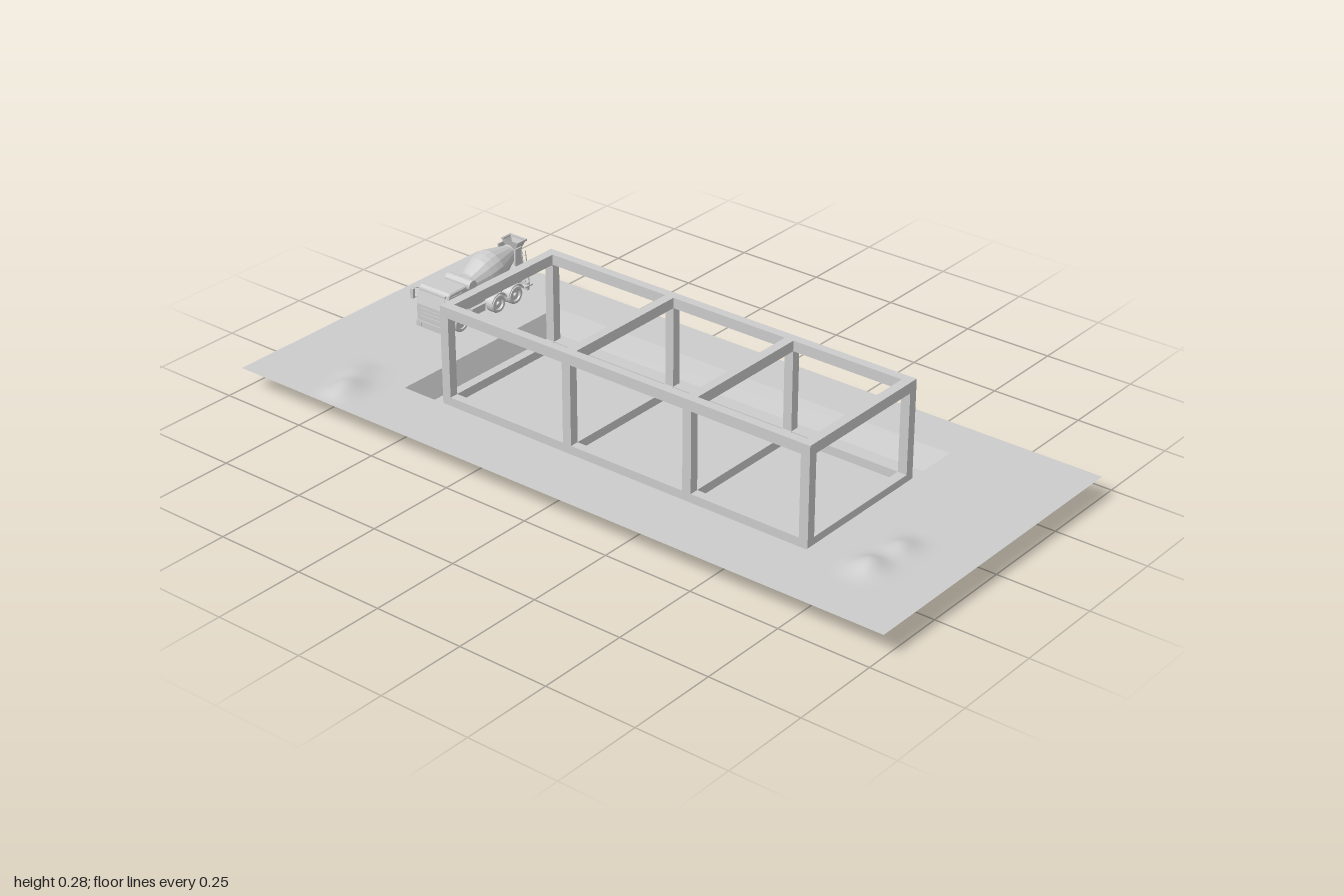
import * as THREE from 'three';

const GROUND = 0.059;
const mat = new THREE.MeshStandardMaterial({ color: 0xcccccc, flatShading: true, side: THREE.DoubleSide });
const smooth = new THREE.MeshStandardMaterial({ color: 0xcccccc, side: THREE.DoubleSide });

function add(parent, name, geo, material = mat) {
  const m = new THREE.Mesh(geo, material);
  m.name = name;
  parent.add(m);
  return m;
}

// Box given by its extents on each axis
function box(parent, name, x0, x1, y0, y1, z0, z1) {
  const m = add(parent, name, new THREE.BoxGeometry(x1 - x0, y1 - y0, z1 - z0));
  m.position.set((x0 + x1) / 2, (y0 + y1) / 2, (z0 + z1) / 2);
  return m;
}

// Bar between two points
function bar(parent, name, a, b, r, sides = 8) {
  const p = new THREE.Vector3(...a), q = new THREE.Vector3(...b);
  const m = add(parent, name, new THREE.CylinderGeometry(r, r, p.distanceTo(q), sides));
  m.position.copy(p).add(q).multiplyScalar(0.5);
  m.quaternion.setFromUnitVectors(new THREE.Vector3(0, 1, 0), q.sub(p).normalize());
  return m;
}

// Side outline extruded across z, centred on zc
function slab(parent, name, shape, width, zc = 0, bevel = 0) {
  const depth = width - 2 * bevel;
  const geo = new THREE.ExtrudeGeometry(shape, {
    depth, bevelEnabled: bevel > 0, bevelSize: bevel, bevelOffset: -bevel,
    bevelThickness: bevel, bevelSegments: 1, curveSegments: 10,
  });
  geo.translate(0, 0, zc - depth / 2);
  return add(parent, name, geo);
}
const outline = pts => new THREE.Shape(pts.map(p => new THREE.Vector2(...p)));
const rect = (x0, x1, z0, z1) => [[x0, -z0], [x1, -z0], [x1, -z1], [x0, -z1]];

function buildGround(root) {
  const rim = [-0.267, 0.317, -0.603, 0.653], floor = [-0.24, 0.291, -0.578, 0.628];
  // Earth heaps: patch extents and bumps [x, z, height, radius x, radius z]
  const heaps = [
    { area: [-0.45, -0.2, -0.84, -0.62], bumps: [[-0.37, -0.71, 0.022, 0.055, 0.04], [-0.29, -0.75, 0.01, 0.05, 0.04]] },
    { area: [-0.34, -0.04, 0.71, 0.91], bumps: [[-0.24, 0.81, 0.024, 0.045, 0.04], [-0.13, 0.82, 0.018, 0.045, 0.035]] },
  ];
  const sheet = outline(rect(-0.45, 0.45, -1, 1));
  for (const r of [rim, ...heaps.map(h => h.area)]) sheet.holes.push(outline(rect(...r)));
  const ground = add(root, 'ground', new THREE.ShapeGeometry(sheet));
  ground.rotation.x = -Math.PI / 2;
  ground.position.y = GROUND;

  for (const { area: [x0, x1, z0, z1], bumps } of heaps) {
    const geo = new THREE.PlaneGeometry(x1 - x0, z1 - z0, 24, 18).rotateX(-Math.PI / 2);
    geo.translate((x0 + x1) / 2, GROUND, (z0 + z1) / 2);
    const p = geo.attributes.position;
    for (let i = 0; i < p.count; i++) {
      const x = p.getX(i), z = p.getZ(i);
      const edge = Math.min(1, Math.min(x - x0, x1 - x, z - z0, z1 - z) / 0.035);
      let h = 0;
      for (const [bx, bz, k, rx, rz] of bumps) h += k * Math.exp(-(((x - bx) / rx) ** 2) - ((z - bz) / rz) ** 2);
      p.setY(i, GROUND + h * edge);
    }
    geo.computeVertexNormals();
    add(root, 'earthHeap', geo, smooth);
  }

  // Excavated pit: sloping sides and flat bottom
  const ring = ([x0, x1, z0, z1], y) => [x0, y, z0, x1, y, z0, x1, y, z1, x0, y, z1];
  const pit = new THREE.BufferGeometry();
  pit.setAttribute('position', new THREE.Float32BufferAttribute([...ring(rim, GROUND), ...ring(floor, 0)], 3));
  const idx = [4, 6, 5, 4, 7, 6];
  for (let i = 0; i < 4; i++) {
    const j = (i + 1) % 4;
    idx.push(i, i + 4, j, j, i + 4, j + 4);
  }
  pit.setIndex(idx);
  const flat = pit.toNonIndexed();
  flat.computeVertexNormals();
  add(root, 'pit', flat);
}

function buildFrame(root) {
  const frame = new THREE.Group();
  frame.name = 'buildingFrame';
  root.add(frame);
  const columns = [[-0.187, -0.162], [0.213, 0.238]], rows = [-0.535, -0.135, 0.24, 0.587], h = 0.013;
  for (const [x0, x1] of columns) {
    box(frame, 'topRail', x0, x1, 0.248, 0.277, -0.548, 0.6);
    box(frame, 'bottomRail', x0, x1, 0.001, 0.025, -0.548, 0.6);
    for (const z of rows) box(frame, 'post', x0, x1, 0.025, 0.248, z - h, z + h);
  }
  for (const z of rows) {
    box(frame, 'topCrossBeam', -0.162, 0.213, 0.248, 0.277, z - h, z + h);
    box(frame, 'bottomCrossBeam', -0.162, 0.213, 0.001, 0.025, z - h, z + h);
  }
}

function wheel(parent, x, z, width, r) {
  const w = new THREE.Group();
  w.name = 'wheel';
  const o = width / 2;
  // Lathe profile: hub, recessed rim, tyre
  const profile = [[0, -o], [0.2, -o], [0.25, -o * 0.6], [0.6, -o * 0.6], [0.66, -o], [0.92, -o], [1, -o * 0.7],
    [1, o * 0.7], [0.92, o], [0.66, o], [0.6, o * 0.6], [0.25, o * 0.6], [0.2, o], [0, o]];
  const geo = new THREE.LatheGeometry(profile.map(([a, y]) => new THREE.Vector2(a * r, y)), 24);
  add(w, 'tyreAndRim', geo.rotateX(Math.PI / 2));
  w.position.set(x, GROUND + r, z);
  parent.add(w);
}

function buildTruck(root) {
  const t = new THREE.Group();
  t.name = 'mixerTruck';
  t.position.z = -0.75;
  root.add(t);

  // Cab with an arch over the front wheel
  const cab = outline([[-0.008, 0.074], [-0.008, 0.137], [0.004, 0.18], [0.012, 0.185], [0.07, 0.186], [0.074, 0.18], [0.074, 0.111]]);
  cab.absarc(0.056, 0.085, 0.031, 0.95, 3.5, false);
  slab(t, 'cab', cab, 0.106, 0, 0.003);
  const windscreen = box(t, 'windscreen', -0.001, 0.001, -0.019, 0.019, -0.043, 0.043);
  windscreen.position.set(-0.002, 0.159, 0);
  windscreen.rotation.z = -0.272;
  box(t, 'bumper', -0.011, 0.02, 0.073, 0.09, -0.052, 0.052);
  for (const y of [0.1, 0.111, 0.122]) box(t, 'grilleBar', -0.01, -0.006, y, y + 0.006, -0.035, 0.035);
  box(t, 'roofVisor', -0.004, 0.008, 0.176, 0.18, -0.045, 0.045);

  for (const s of [-1, 1]) {
    slab(t, 'sideWindow', outline([[0.002, 0.142], [0.012, 0.175], [0.054, 0.176], [0.057, 0.142]]), 0.002, s * 0.0535);
    box(t, 'doorHandle', 0.045, 0.054, 0.13, 0.133, s * 0.054 - 0.0015, s * 0.054 + 0.0015);
    box(t, 'mirror', -0.013, -0.005, 0.148, 0.175, s * 0.063 - 0.005, s * 0.063 + 0.005);
    for (const y of [0.152, 0.177]) bar(t, 'mirrorArm', [0.006, y, s * 0.05], [-0.009, y, s * 0.063], 0.0015, 6);
    box(t, 'headlamp', -0.0125, -0.009, 0.077, 0.087, s * 0.04 - 0.008, s * 0.04 + 0.008);

    // Chassis sides, wheels and fenders
    box(t, 'chassisRail', 0.04, 0.325, 0.098, 0.112, s * 0.02 - 0.005, s * 0.02 + 0.005);
    box(t, 'sideTank', 0.098, 0.148, 0.086, 0.107, s * 0.036 - 0.012, s * 0.036 + 0.012);
    wheel(t, 0.056, s * 0.041, 0.018, 0.0255);
    for (const x of [0.2, 0.268]) {
      wheel(t, x, s * 0.036, 0.028, 0.0255);
      const fender = new THREE.Shape();
      fender.absarc(x, 0.0845, 0.032, 0.35, Math.PI - 0.35, false);
      fender.absarc(x, 0.0845, 0.029, Math.PI - 0.35, 0.35, true);
      slab(t, 'fender', fender, 0.03, s * 0.036);
    }
    // Rear drum supports
    slab(t, 'drumSupport', outline([[0.265, 0.112], [0.32, 0.112], [0.314, 0.205], [0.288, 0.205], [0.286, 0.15]]), 0.004, s * 0.03);
    bar(t, 'supportBrace', [0.225, 0.112, s * 0.025], [0.288, 0.155, s * 0.03], 0.003);
  }
  for (const x of [0.056, 0.2, 0.268]) bar(t, 'axle', [x, 0.0845, -0.036], [x, 0.0845, 0.036], 0.005);
  for (const x of [0.08, 0.16, 0.235, 0.318]) box(t, 'chassisCrossmember', x, x + 0.007, 0.1, 0.112, -0.02, 0.02);
  box(t, 'rearBumper', 0.318, 0.326, 0.078, 0.1, -0.045, 0.045);

  // Water tank on its stand behind the cab
  box(t, 'deck', 0.09, 0.15, 0.108, 0.115, -0.04, 0.04);
  box(t, 'tankStand', 0.1, 0.117, 0.115, 0.16, -0.025, 0.025);
  bar(t, 'waterTank', [0.108, 0.17, -0.043], [0.108, 0.17, 0.043], 0.015, 16);
  slab(t, 'frontDrumSupport', outline([[0.12, 0.112], [0.15, 0.112], [0.145, 0.162], [0.124, 0.162]]), 0.045);

  // Mixing drum, tilted up towards the rear
  const drum = add(t, 'drum', new THREE.LatheGeometry([[0, 0], [0.022, 0], [0.032, 0.006], [0.049, 0.055],
    [0.052, 0.075], [0.051, 0.097], [0.024, 0.167], [0.024, 0.173], [0.019, 0.173], [0.015, 0.16]]
    .map(p => new THREE.Vector2(...p)), 18));
  drum.position.set(0.131, 0.151, 0);
  drum.rotation.z = -Math.PI / 2 + 0.19;
  bar(t, 'drumDrive', [0.117, 0.148, 0], [0.134, 0.151, 0], 0.014, 12);

  // Loading hopper, discharge chute and rear platform
  const hopper = add(t, 'hopper', new THREE.CylinderGeometry(0.027, 0.014, 0.03, 4, 1, true).rotateY(Math.PI / 4));
  hopper.position.set(0.319, 0.203, 0);
  hopper.scale.z = 1.5;
  box(t, 'hopperRim', 0.303, 0.338, 0.212, 0.217, -0.029, -0.025);
  box(t, 'hopperRim', 0.303, 0.338, 0.212, 0.217, 0.025, 0.029);
  box(t, 'hopperRim', 0.334, 0.338, 0.212, 0.217, -0.025, 0.025);
  box(t, 'supportBridge', 0.288, 0.312, 0.16, 0.166, -0.03, 0.03);
  const chute = add(t, 'chute', new THREE.CylinderGeometry(0.016, 0.013, 0.082, 10, 1, true, Math.PI, Math.PI));
  chute.position.set(0.334, 0.153, 0);
  chute.rotation.z = 0.4;
  bar(t, 'chuteStrut', [0.318, 0.112, 0], [0.334, 0.145, 0], 0.003);
  box(t, 'rearStep', 0.305, 0.335, 0.09, 0.094, 0.03, 0.05);
  for (const z of [0.035, 0.049]) bar(t, 'ladderRail', [0.322, 0.092, z], [0.308, 0.2, z], 0.0015, 6);
  for (let i = 1; i < 7; i++) {
    const x = 0.322 - i * 0.002, y = 0.092 + i * 0.0154;
    bar(t, 'ladderRung', [x, y, 0.035], [x, y, 0.049], 0.0012, 6);
  }
}

export function createModel() {
  const root = new THREE.Group();
  root.name = 'constructionSite';
  buildGround(root);
  buildFrame(root);
  buildTruck(root);
  return root;
}
